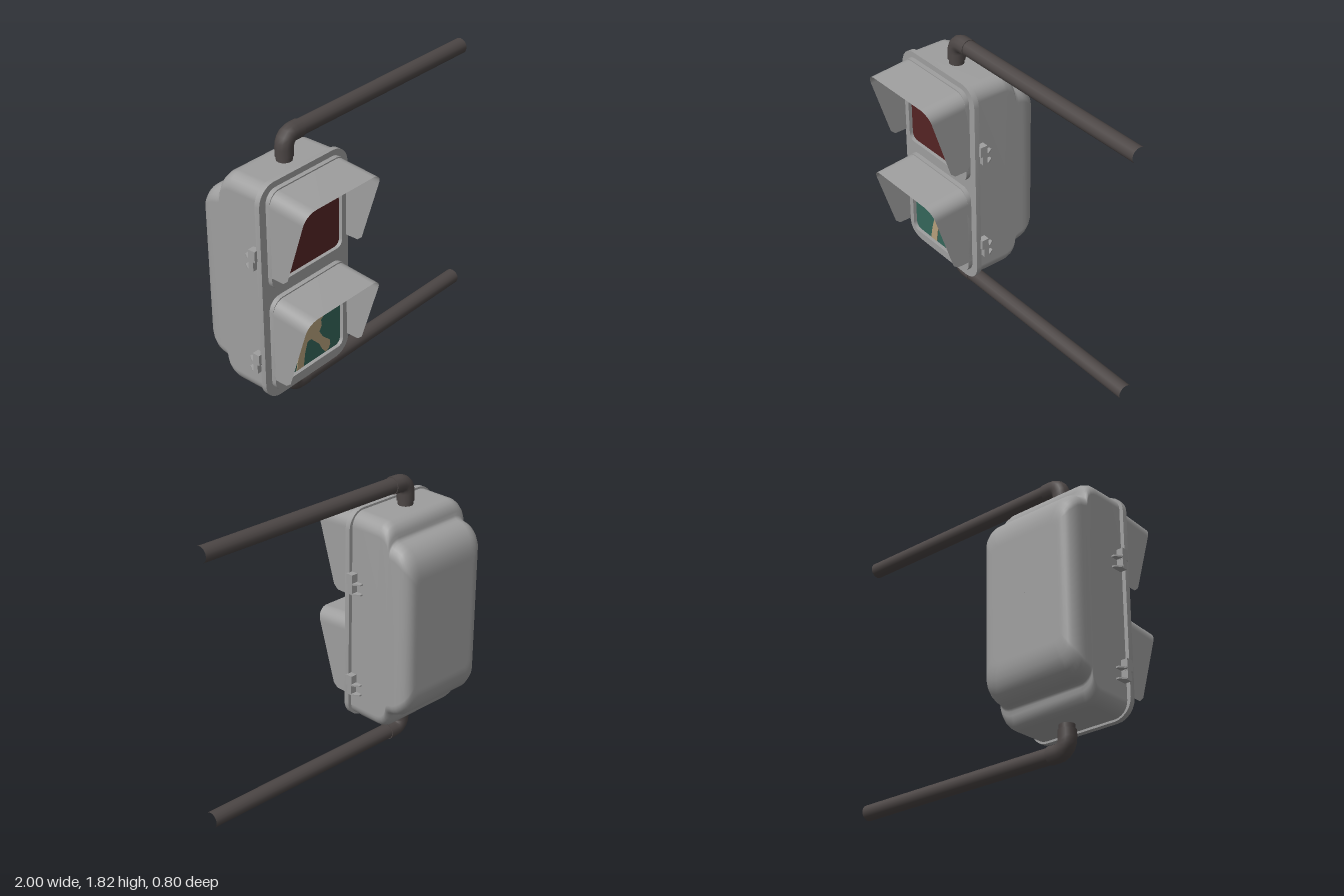
import * as THREE from 'three';
import { toCreasedNormals } from 'three/addons/utils/BufferGeometryUtils.js';

const CX = -0.615, CY = 0.912; // centre of the signal housing
const mat = (name, color, side = THREE.FrontSide) => {
  const m = new THREE.MeshStandardMaterial({ color, side });
  m.name = name;
  return m;
};

// Rounded rectangle outline, anticlockwise from the lower right
function roundedRect(hx, hy, r, n = 6) {
  const pts = [];
  [[1, -1], [1, 1], [-1, 1], [-1, -1]].forEach(([sx, sy], c) => {
    for (let i = 0; i <= n; i++) {
      const a = (c - 1 + i / n) * Math.PI / 2;
      pts.push(new THREE.Vector2(sx * (hx - r) + r * Math.cos(a), sy * (hy - r) + r * Math.sin(a)));
    }
  });
  return pts;
}

// Surface through equal-length rows of [x, y, z] points
function loft(rows, closed) {
  const n = rows[0].length, index = [];
  for (let i = 0; i < rows.length - 1; i++) {
    for (let j = 0; j < (closed ? n : n - 1); j++) {
      const k = (j + 1) % n, a = i * n + j, b = i * n + k;
      index.push(a, a + n, b, b, a + n, b + n);
    }
  }
  const g = new THREE.BufferGeometry();
  g.setAttribute('position', new THREE.Float32BufferAttribute(rows.flat(2), 3));
  g.setIndex(index);
  g.computeVertexNormals();
  return g;
}

function extrude(shape, depth, z) {
  const g = new THREE.ExtrudeGeometry(shape, { depth, bevelEnabled: false });
  g.translate(0, 0, z);
  return toCreasedNormals(g, 0.6);
}

function add(parent, name, geometry, material) {
  const m = new THREE.Mesh(geometry, material);
  m.name = name;
  parent.add(m);
  return m;
}

// Hood: open sheet over the top and sides, cut on a slant at the front
function visorGeometry() {
  const yb = -0.22, top = 0.315, hx = 0.315, r = 0.08, outline = [];
  const heights = [yb, yb + 0.008, yb + 0.03, 0, top - r - 0.01];
  heights.forEach(y => outline.push([hx, y]));
  for (let i = 0; i <= 8; i++) {
    const a = i / 8 * Math.PI / 2;
    outline.push([hx - r + r * Math.cos(a), top - r + r * Math.sin(a)]);
  }
  const all = outline.concat(outline.slice().reverse().map(([x, y]) => [-x, y]));
  const row = s => all.map(([x, y]) => {
    const t = (y - yb) / (top - yb);
    const front = 0.24 + 0.16 * t - 0.025 * Math.max(0, 1 - t / 0.05);
    return [x, y - 0.028 * t * s, 0.1 + (front - 0.1) * s];
  });
  return loft([row(1), row(0)], false);
}

// Walking figure outline, relative to the window centre
const WALKER = [
  [-.055, .262], [.02, .262], [.02, .203], [.04, .185], [.088, .15], [.13, .128], [.147, .08],
  [.142, .01], [.105, -.022], [.11, -.065], [.088, -.097], [.12, -.15], [.179, -.203],
  [.184, -.235], [.168, -.262], [.142, -.272], [.115, -.24], [.088, -.187], [.014, -.113],
  [-.018, -.118], [-.04, -.187], [-.055, -.274], [-.115, -.274], [-.098, -.187], [-.077, -.118],
  [-.088, -.054], [-.093, -.006], [-.157, -.006], [-.168, .015], [-.141, .053], [-.098, .106],
  [-.061, .15], [-.05, .21]];

export function createModel() {
  const grey = mat('housingGrey', 0x9e9e9e);
  const greySheet = mat('visorGrey', 0x9e9e9e, THREE.DoubleSide);
  const dark = mat('pipeDark', 0x4c4645);
  const red = mat('stopRed', 0x552424);
  const green = mat('walkGreen', 0x35665a);
  const beige = mat('figureBeige', 0xb6a07c);

  const root = new THREE.Group();
  root.name = 'pedestrianSignal';
  const housing = new THREE.Group();
  housing.name = 'housing';
  housing.position.set(CX, CY, 0);
  root.add(housing);

  // Rear shell: z, half width, half height, corner radius
  const sections = [
    [0.07, 0.34, 0.70, 0.09], [-0.15, 0.34, 0.70, 0.09], [-0.17, 0.34, 0.698, 0.09],
    [-0.2, 0.34, 0.685, 0.09], [-0.222, 0.34, 0.66, 0.09], [-0.232, 0.34, 0.63, 0.09],
    [-0.235, 0.34, 0.605, 0.09], [-0.242, 0.34, 0.59, 0.09], [-0.26, 0.34, 0.582, 0.09],
    [-0.29, 0.34, 0.576, 0.09], [-0.32, 0.339, 0.562, 0.09], [-0.35, 0.332, 0.538, 0.09],
    [-0.375, 0.317, 0.503, 0.08], [-0.39, 0.298, 0.465, 0.07], [-0.398, 0.278, 0.425, 0.06],
    [-0.4, 0.258, 0.39, 0.05], [-0.4, 0.24, 0.37, 0.05], [-0.4, 0.001, 0.001, 0.0005]];
  add(housing, 'rearShell', loft(sections.map(([z, hx, hy, r]) =>
    roundedRect(hx, hy, r).map(p => [p.x, p.y, z])), true), grey);

  // Front door plate
  add(housing, 'frontDoor', extrude(new THREE.Shape(roundedRect(0.365, 0.714, 0.12)), 0.035, 0.065), grey);

  // Two windows, each with frame, lens and hood
  for (const [name, y, lens] of [['stop', 1.27, red], ['walk', 0.57, green]]) {
    const w = new THREE.Group();
    w.name = name + 'Window';
    w.position.y = y - CY;
    housing.add(w);
    const ring = new THREE.Shape(roundedRect(0.315, 0.32, 0.08));
    ring.holes.push(new THREE.Path(roundedRect(0.279, 0.278, 0.045)));
    add(w, 'windowFrame', extrude(ring, 0.03, 0.1), grey);
    const face = new THREE.ShapeGeometry(new THREE.Shape(roundedRect(0.28, 0.279, 0.045)));
    add(w, 'lens', face, lens).position.z = 0.106;
    add(w, 'visor', visorGeometry(), greySheet);
    if (name === 'walk') {
      const figure = new THREE.Shape(WALKER.map(([a, b]) => new THREE.Vector2(a, b)));
      add(w, 'walkingFigure', extrude(figure, 0.004, 0.107), beige);
    }
  }

  // Latches on both sides: a block with two wedge fins
  for (const side of [-1, 1]) {
    for (const y of [1.165, 0.465]) {
      const latch = new THREE.Group();
      latch.name = 'latch';
      latch.position.set(side * 0.335, y - CY, 0);
      if (side < 0) latch.rotation.z = Math.PI;
      housing.add(latch);
      const upper = add(latch, 'latchBlock', new THREE.BoxGeometry(0.05, 0.07, 0.05), grey);
      upper.position.set(0.025, side * 0.03, 0.045);
      const lower = add(latch, 'latchStem', new THREE.BoxGeometry(0.05, 0.065, 0.035), grey);
      lower.position.set(0.025, side * -0.033, 0.038);
      // Shape is drawn in x and -z, then laid flat
      const fin = new THREE.Shape([[0, -0.05], [0.05, -0.05], [0.05, -0.01], [0.025, 0.028], [0, 0.028]]
        .map(([a, b]) => new THREE.Vector2(a, b)));
      for (const fy of [0.005, -0.063]) {
        const f = new THREE.ExtrudeGeometry(fin, { depth: 0.01, bevelEnabled: false });
        f.rotateX(-Math.PI / 2);
        add(latch, 'latchFin', f, grey).position.y = side * fy - 0.005;
      }
    }
  }

  // Mounting pipes, the lower one turned upside down
  for (const [name, turn] of [['upperMount', 0], ['lowerMount', Math.PI]]) {
    const mount = new THREE.Group();
    mount.name = name;
    mount.position.set(0, 0.911, -0.05);
    mount.rotation.x = turn;
    root.add(mount);
    add(mount, 'neck', new THREE.CylinderGeometry(0.048, 0.048, 0.1, 16), dark).position.set(CX, 0.71, 0);
    const bend = new THREE.CurvePath();
    const v = (x, y) => new THREE.Vector3(x, y, 0);
    bend.add(new THREE.LineCurve3(v(CX, 0.73), v(CX, 0.78)));
    bend.add(new THREE.QuadraticBezierCurve3(v(CX, 0.78), v(CX + 0.005, 0.847), v(-0.55, 0.852)));
    bend.add(new THREE.LineCurve3(v(-0.55, 0.852), v(-0.49, 0.852)));
    add(mount, 'elbow', new THREE.TubeGeometry(bend, 9, 0.056, 12), dark);
    const endCap = add(mount, 'elbowEnd', new THREE.CircleGeometry(0.056, 12), dark);
    endCap.position.set(-0.49, 0.852, 0);
    endCap.rotation.y = Math.PI / 2;
    const base = add(mount, 'elbowBase', new THREE.CircleGeometry(0.056, 12), dark);
    base.position.set(CX, 0.73, 0);
    base.rotation.x = Math.PI / 2;
    const pipe = new THREE.CylinderGeometry(0.05, 0.05, 1.5, 16, 1, true);
    pipe.rotateZ(Math.PI / 2);
    add(mount, 'pipe', pipe, dark).position.set(0.25, 0.852, 0);
  }
  return root;
}
